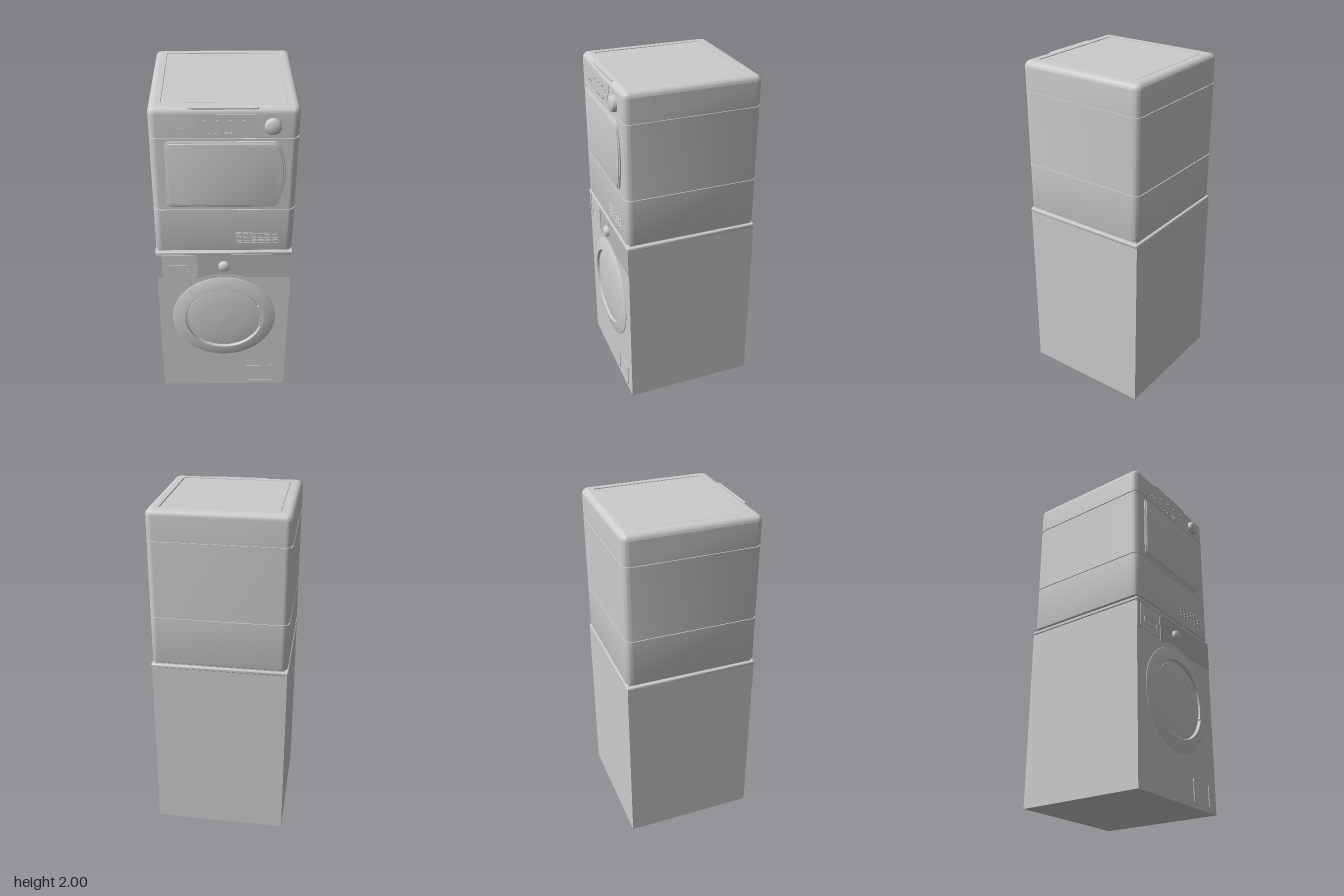
import * as THREE from 'three';
import { toCreasedNormals } from 'three/addons/utils/BufferGeometryUtils.js';

export function createModel() {
  const group = new THREE.Group();
  const enamel = new THREE.MeshStandardMaterial({ name: 'light grey enamel', color: 0xcccccc });
  const trim = new THREE.MeshStandardMaterial({ name: 'control strip grey', color: 0xb8b8b8 });

  function add(name, geometry, x = 0, y = 0, z = 0, material = enamel) {
    const mesh = new THREE.Mesh(geometry, material);
    mesh.name = name;
    mesh.position.set(x, y, z);
    group.add(mesh);
    return mesh;
  }
  const box = (name, w, h, d, x, y, z, m) => add(name, new THREE.BoxGeometry(w, h, d), x, y, z, m);

  // Rounded rectangle outline, usable as shape or hole
  function roundRect(x0, y0, x1, y1, r, Type = THREE.Shape) {
    const s = new Type();
    s.moveTo(x0 + r, y0);
    s.lineTo(x1 - r, y0);
    s.absarc(x1 - r, y0 + r, r, -Math.PI / 2, 0);
    s.lineTo(x1, y1 - r);
    s.absarc(x1 - r, y1 - r, r, 0, Math.PI / 2);
    s.lineTo(x0 + r, y1);
    s.absarc(x0 + r, y1 - r, r, Math.PI / 2, Math.PI);
    s.lineTo(x0, y0 + r);
    s.absarc(x0 + r, y0 + r, r, Math.PI, Math.PI * 1.5);
    return s;
  }
  function plate(name, shape, z, depth, material = enamel, bevel = 0) {
    const geo = new THREE.ExtrudeGeometry(shape, {
      depth: depth - bevel, curveSegments: 16, bevelEnabled: bevel > 0,
      bevelSize: bevel, bevelThickness: bevel, bevelOffset: -bevel, bevelSegments: 3,
    });
    return add(name, bevel ? toCreasedNormals(geo, 0.6) : geo, 0, 0, z, material);
  }
  function frame(name, x0, y0, x1, y1, r, t, z, depth) {
    const s = roundRect(x0, y0, x1, y1, r);
    s.holes.push(roundRect(x0 + t, y0 + t, x1 - t, y1 - t, r - t, THREE.Path));
    return plate(name, s, z, depth);
  }

  // Stacked rounded-rectangle sections, [height, inset] from bottom to top
  function loft(profile, halfX, halfZ, radius) {
    const pos = [], index = [], steps = 8, n = 4 * (steps + 1);
    for (const [y, inset] of profile) {
      const r = Math.max(radius - inset, 0.002);
      for (let q = 0; q < 4; q++) {
        const sx = q === 0 || q === 3 ? 1 : -1, sz = q < 2 ? -1 : 1;
        for (let i = 0; i <= steps; i++) {
          const a = (q + i / steps) * Math.PI / 2;
          pos.push(sx * (halfX - inset - r) + r * Math.cos(a), y,
            sz * (halfZ - inset - r) - r * Math.sin(a));
        }
      }
    }
    const last = (profile.length - 1) * n, low = pos.length / 3;
    pos.push(0, profile[0][0], 0, 0, profile[profile.length - 1][0], 0);
    for (let i = 0; i < n; i++) {
      const j = (i + 1) % n;
      for (let k = 0; k < last; k += n) index.push(k + i, k + j, k + n + j, k + i, k + n + j, k + n + i);
      index.push(low, j, i, low + 1, last + i, last + j);
    }
    const geo = new THREE.BufferGeometry();
    geo.setAttribute('position', new THREE.Float32BufferAttribute(pos, 3));
    geo.setIndex(index);
    return toCreasedNormals(geo, 0.6);
  }
  // Round part turned about the z axis, [radius, z] from rim to centre
  function turned(name, points, x, y, z, segments = 64) {
    const pts = points.map(([r, h]) => new THREE.Vector2(r, h));
    const mesh = add(name, new THREE.LatheGeometry(pts, segments), x, y, z);
    mesh.rotation.x = Math.PI / 2;
    mesh.material = enamel;
    return mesh;
  }

  // ---- Washer ----
  const front = 0.37;
  box('washerBody', 0.78, 1.075, 0.78, 0, 0.5375, -0.02);
  add('washerWorktop', loft([[1.073, 0.004], [1.078, 0], [1.09, 0], [1.095, 0.004]], 0.394, 0.394, 0.012), 0, 0, -0.018);
  box('stackingPlate', 0.75, 0.02, 0.75, 0, 1.1, -0.02);

  // Control strip, its lower edge arched around the door
  const strip = new THREE.Shape();
  const arch = Math.acos(0.135 / 0.345);
  strip.moveTo(-0.155, 0.9075);
  strip.lineTo(-0.135, 0.9075);
  strip.absarc(0, 0.59, 0.345, Math.PI - arch, arch, true);
  strip.lineTo(0.388, 0.9075);
  strip.lineTo(0.388, 1.072);
  strip.lineTo(-0.155, 1.072);
  plate('washerControlStrip', strip, front, 0.003, trim);
  box('washerControlStripEnd', 0.026, 0.164, 0.003, -0.375, 0.99, front + 0.0015, trim);

  // Detergent drawer with its grip
  plate('detergentDrawer', roundRect(-0.357, 0.92, -0.163, 1.07, 0.02), front, 0.003);
  frame('detergentDrawerEdge', -0.36, 0.915, -0.16, 1.072, 0.022, 0.005, front, 0.005);
  frame('detergentDrawerGrip', -0.325, 0.95, -0.2, 0.997, 0.015, 0.004, front, 0.006);

  turned('washerDial', [[0.033, 0], [0.033, 0.016], [0.026, 0.025], [0.012, 0.029], [0, 0.03]], 0, 0.995, front, 32);

  // Porthole door: sloped ring, recessed gap and bulging window
  turned('portholeRing', [[0.312, 0], [0.31, 0.006], [0.27, 0.015], [0.236, 0.022], [0.232, 0.02], [0.23, 0.004]], 0, 0.592, front, 72);
  turned('portholeWindow', [[0.222, 0], [0.22, 0.01], [0.12, 0.016], [0, 0.021]], 0, 0.592, front, 72);
  const handle = new THREE.Shape();
  handle.absarc(0, 0.592, 0.245, -0.28, 0.45);
  handle.absarc(0, 0.592, 0.222, 0.45, -0.28, true);
  plate('portholeHandle', handle, front + 0.01, 0.011);

  frame('filterHatch', 0.145, 0.025, 0.315, 0.17, 0.014, 0.006, front, 0.004);

  // ---- Dryer ----
  const seam = (y) => [[y - 0.004, 0], [y - 0.004, 0.006], [y + 0.004, 0.006], [y + 0.004, 0]];
  const profile = [[1.105, 0.008], [1.109, 0.002], [1.115, 0], ...seam(1.39), ...seam(1.83)];
  for (let i = 0; i <= 8; i++) {
    const a = i / 8 * Math.PI / 2;
    profile.push([1.965 + 0.035 * Math.sin(a), 0.035 * (1 - Math.cos(a))]);
  }
  profile.push([2, 0.066], [1.993, 0.067], [1.993, 0.071], [1.998, 0.072]);
  add('dryerBody', loft(profile, 0.39, 0.3925, 0.04), 0, 0, -0.0175);
  const face = 0.375;

  // Door with a bowed handle side
  function doorShape(d) {
    const s = new THREE.Shape(), r = 0.03;
    const x0 = -0.31 + d, y0 = 1.41 + d, y1 = 1.812 - d;
    s.moveTo(x0 + r, y0);
    s.lineTo(0.255 - d, y0);
    s.quadraticCurveTo(0.29 - d, y0, 0.302 - d, y0 + 0.045);
    s.quadraticCurveTo(0.35 - d, (y0 + y1) / 2, 0.302 - d, y1 - 0.045);
    s.quadraticCurveTo(0.29 - d, y1, 0.255 - d, y1);
    s.lineTo(x0 + r, y1);
    s.quadraticCurveTo(x0, y1, x0, y1 - r);
    s.lineTo(x0, y0 + r);
    s.quadraticCurveTo(x0, y0, x0 + r, y0);
    return s;
  }
  plate('dryerDoorRim', doorShape(0), face - 0.002, 0.01, enamel, 0.003);
  plate('dryerDoor', doorShape(0.009), face, 0.014, enamel, 0.004);
  box('dryerDoorLatch', 0.03, 0.008, 0.006, 0.02, 1.402, face);

  // Console panel below the finger grip
  const consoleShape = new THREE.Shape([[-0.165, 1.963], [-0.13, 1.87], [0.12, 1.87], [0.16, 1.963]]
    .map(([x, y]) => new THREE.Vector2(x, y)));
  plate('dryerConsole', consoleShape, face, 0.002);
  const grip = new THREE.Shape([[-0.19, -0.345], [0.185, -0.345], [0.175, -0.366], [0.15, -0.37], [-0.155, -0.37], [-0.18, -0.366]]
    .map(([x, y]) => new THREE.Vector2(x, y)).reverse());
  const lip = plate('dryerFingerGrip', grip, 0, 0.009);
  lip.rotation.x = -Math.PI / 2;
  lip.position.set(0, 1.988, 0);

  // Buttons and indicator keys
  for (const x of [-0.107, -0.037, 0.033, 0.103]) box('dryerButton', 0.014, 0.012, 0.008, x, 1.925, face + 0.002);
  for (const x of [-0.22, -0.195]) box('dryerKey', 0.01, 0.01, 0.008, x, 1.882, face + 0.002);
  for (const x of [-0.075, -0.042, 0.01, 0.035]) box('dryerKey', 0.016, 0.008, 0.008, x, 1.853, face + 0.002);
  for (const x of [0.01, 0.035]) box('dryerKey', 0.016, 0.006, 0.008, x, 1.863, face + 0.002);

  turned('dryerDial', [[0.044, 0], [0.043, 0.02], [0.036, 0.027], [0.018, 0.032], [0, 0.033]], 0.25, 1.9, face, 40);

  // Vent grille: staggered slots
  for (let row = 0; row < 4; row++) {
    for (let i = 0; i < 6; i++) {
      const x = 0.063 + row * 0.003 + i * 0.04;
      frame('ventSlot', x, 1.222 - row * 0.02, x + 0.036, 1.236 - row * 0.02, 0.005, 0.003, face, 0.003);
    }
  }
  return group;
}
